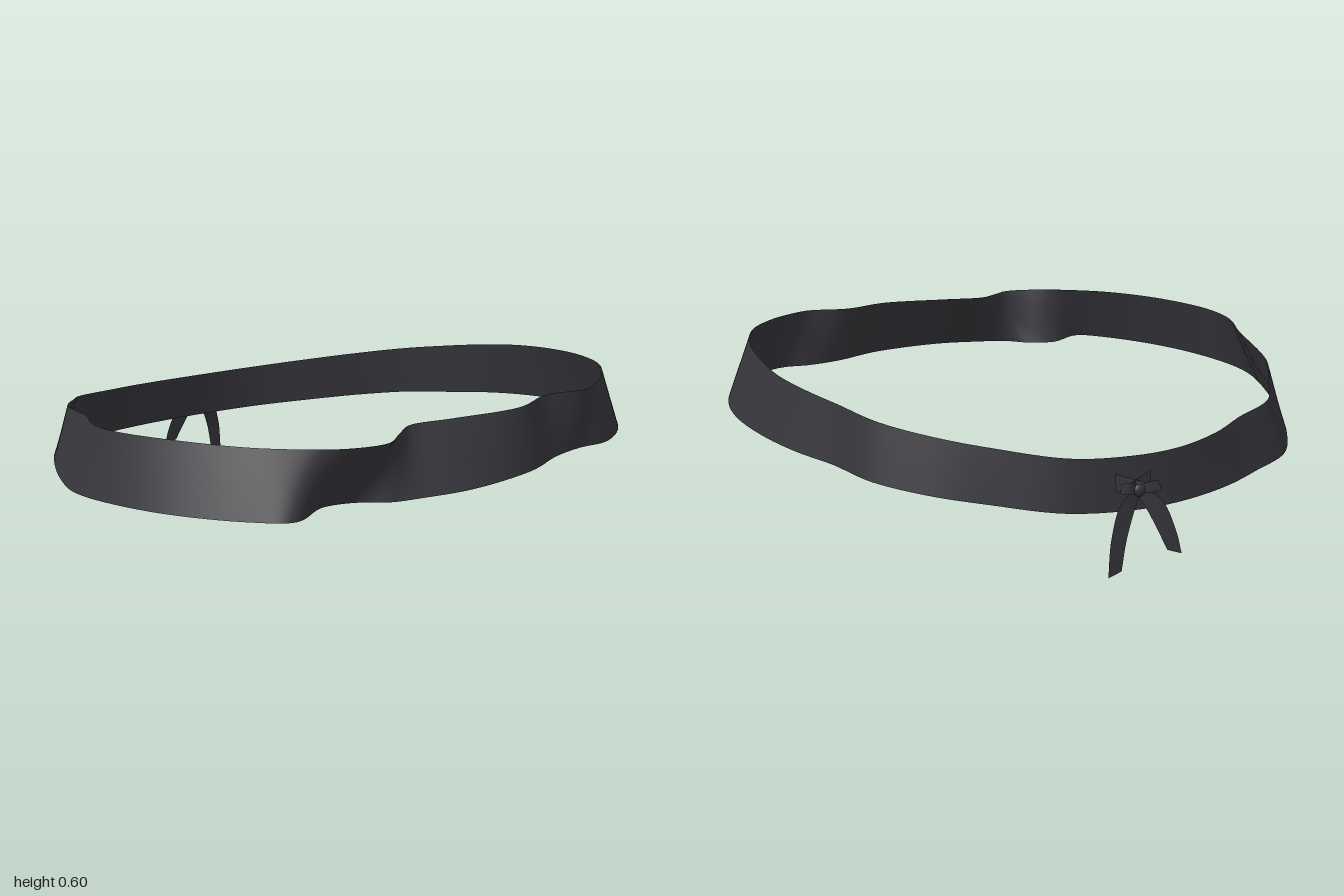
import * as THREE from 'three';

const cloth = new THREE.MeshStandardMaterial({ color: 0x36353b, side: THREE.DoubleSide });
cloth.name = 'charcoal cloth';

// Stations round the band, from the back past the left side: bottom x, z, top x, z
const STATIONS = [
  [0, -.866, 0, -.845], [.22, -.84, .2, -.825], [.43, -.735, .41, -.72], [.59, -.635, .56, -.62],
  [.73, -.5, .7, -.485], [.81, -.34, .785, -.33], [.89, -.21, .855, -.19], [.955, -.05, .905, -.04],
  [.997, .165, .92, .15], [.985, .35, .905, .34], [.92, .54, .85, .515], [.81, .675, .75, .65],
  [.685, .755, .65, .735], [.58, .76, .57, .778], [.45, .797, .42, .765], [.27, .89, .25, .84],
  [0, .945, 0, .83], [-.18, .93, -.15, .82], [-.28, .91, -.23, .88], [-.37, .85, -.31, .942],
  [-.47, .835, -.43, .93], [-.61, .915, -.54, .875], [-.72, .835, -.68, .765], [-.877, .62, -.82, .57],
  [-.973, .38, -.915, .35], [-1, .2, -.925, .2], [-.963, 0, -.878, .04], [-.866, -.29, -.815, -.27],
  [-.797, -.45, -.717, -.45], [-.69, -.61, -.636, -.58], [-.53, -.705, -.476, -.674],
  [-.37, -.786, -.34, -.76], [-.18, -.845, -.17, -.825],
];
const bottomY = z => .33 + .112 * z - .051 * z * z + .015 * z * z * z;
const topY = z => .535 + .146 * z - .081 * z * z;

// Surface stretched between two edge curves
function ribbon(name, low, high, steps, rows, closed = false) {
  const pos = [], index = [], p = new THREE.Vector3();
  const cols = closed ? steps : steps + 1;
  for (let i = 0; i < cols; i++) {
    const a = low.getPoint(i / steps), b = high.getPoint(i / steps);
    for (let j = 0; j <= rows; j++) pos.push(...p.lerpVectors(a, b, j / rows).toArray());
  }
  for (let i = 0; i < steps; i++) {
    for (let j = 0; j < rows; j++) {
      const a = i * (rows + 1) + j, b = ((i + 1) % cols) * (rows + 1) + j;
      index.push(a, a + 1, b, b, a + 1, b + 1);
    }
  }
  const g = new THREE.BufferGeometry();
  g.setAttribute('position', new THREE.Float32BufferAttribute(pos, 3));
  g.setIndex(index);
  g.computeVertexNormals();
  const mesh = new THREE.Mesh(g, cloth);
  mesh.name = name;
  return mesh;
}
const curve = (pts, closed = false) =>
  new THREE.CatmullRomCurve3(pts.map(p => new THREE.Vector3(...p)), closed);

export function createModel() {
  const model = new THREE.Group();
  model.name = 'headband';

  // Twisting cloth band, higher at the front
  const low = curve(STATIONS.map(([x, z]) => [x, bottomY(z), z]), true);
  const high = curve(STATIONS.map(([, , x, z]) => [x, topY(z), z]), true);
  model.add(ribbon('band', low, high, 264, 6, true));

  // Tied bow at the back
  const bow = new THREE.Group();
  bow.name = 'bow';
  for (const s of [1, -1]) {
    const side = s > 0 ? 'left' : 'right';
    const lift = s > 0 ? 0 : .05; // the right tail is shorter
    // Strap crossing from the band to the knot
    bow.add(ribbon(side + 'Strap',
      curve([[s * .06, .245, -.862], [0, .25, -.88], [-s * .035, .235, -.9]]),
      curve([[s * .06, .305, -.855], [0, .285, -.875], [-s * .035, .275, -.9]]), 8, 2));
    // Small flap beside the knot
    bow.add(ribbon(side + 'Flap',
      curve([[0, .25, -.895], [s * .035, .25, -.915], [s * .07, .255, -.915]]),
      curve([[0, .27, -.895], [s * .03, .285, -.91], [s * .065, .285, -.905]]), 8, 2));
    // Hanging tail
    bow.add(ribbon(side + 'Tail',
      curve([[0, .235, -.9], [s * .025, .19, -.915], [s * .06, .11, -.938], [s * .078, .02 + lift, -.945]]),
      curve([[s * .01, .265, -.9], [s * .07, .225, -.918], [s * .112, .12, -.94], [s * .125, .005 + lift, -.95]]),
      16, 2));
  }
  const knot = new THREE.Mesh(new THREE.SphereGeometry(.022, 16, 10), cloth);
  knot.name = 'knot';
  knot.scale.set(1, .9, .6);
  knot.position.set(0, .258, -.9);
  bow.add(knot);
  model.add(bow);
  return model;
}
